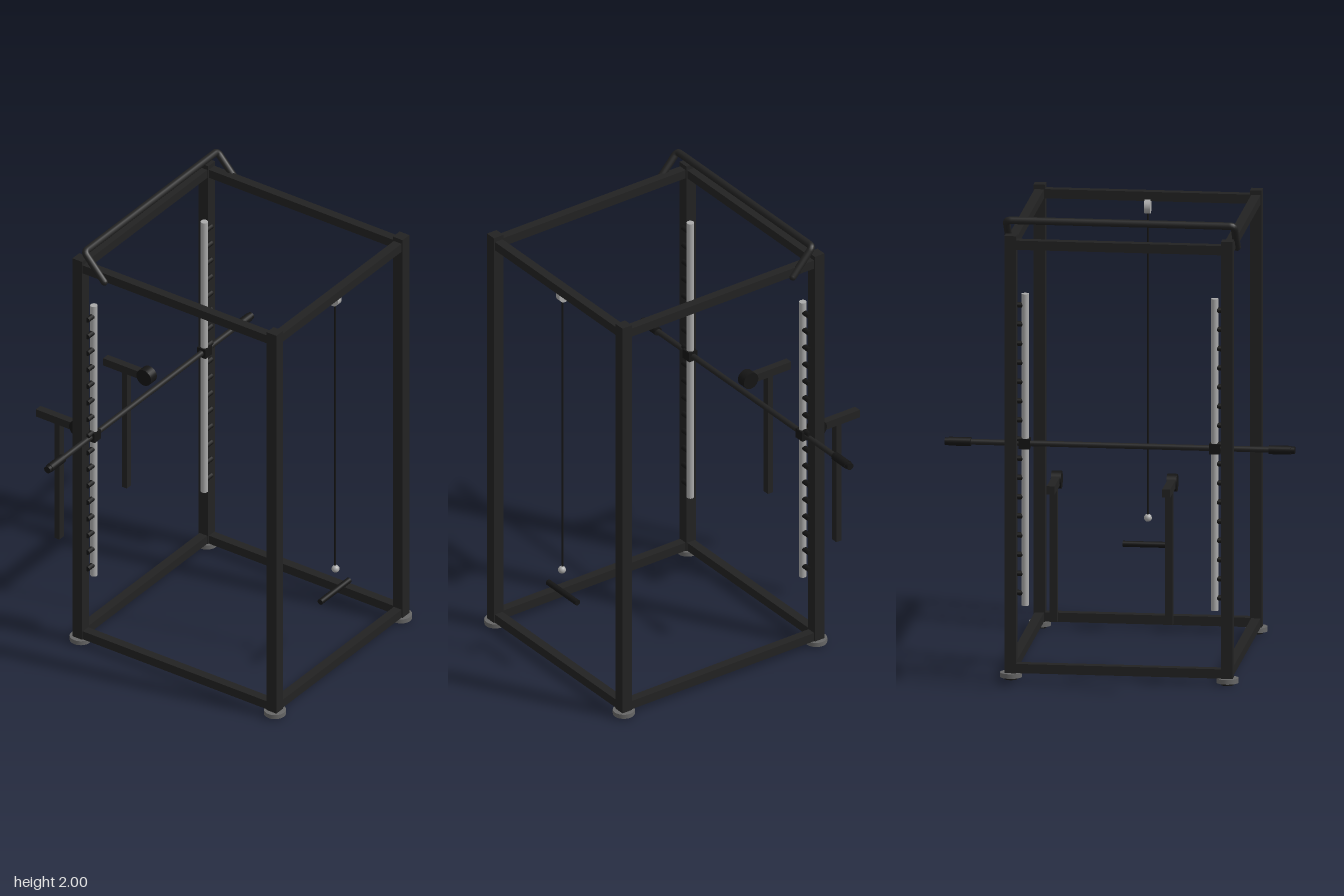
import * as THREE from 'three';

const mat = (color) => new THREE.MeshStandardMaterial({ color });
const FRAME = mat(0x222222), BLACK = mat(0x151515), STEEL = mat(0xaaaaaa), FOOT = mat(0x666666);

export function createModel() {
  const root = new THREE.Group();

  const add = (name, geo, material, x, y, z) => {
    const m = new THREE.Mesh(geo, material);
    m.name = name;
    m.position.set(x, y, z);
    root.add(m);
    return m;
  };
  const box = (name, w, h, d, material, x, y, z) =>
    add(name, new THREE.BoxGeometry(w, h, d), material, x, y, z);
  const rod = (name, r, len, axis, material, x, y, z, seg = 20) => {
    const g = new THREE.CylinderGeometry(r, r, len, seg);
    if (axis === 'x') g.rotateZ(Math.PI / 2);
    if (axis === 'z') g.rotateX(Math.PI / 2);
    return add(name, g, material, x, y, z);
  };

  const PX = 0.463, ZF = 0.665, ZB = -0.345, ZMID = (ZF + ZB) / 2;

  // Uprights with round levelling feet
  for (const x of [-PX, PX]) {
    for (const z of [ZF, ZB]) {
      box('upright', 0.05, 1.915, 0.05, FRAME, x, 0.9725, z);
      rod('footDisc', 0.047, 0.02, 'y', FOOT, x, 0.02, z, 28);
      rod('footPad', 0.028, 0.012, 'y', BLACK, x, 0.006, z);
    }
  }

  // Top and bottom rails
  for (const y of [0.05, 1.89]) {
    for (const z of [ZF, ZB]) box('crossRail', 2 * PX - 0.05, 0.04, 0.04, FRAME, 0, y, z);
    for (const x of [-PX, PX]) box('sideRail', 0.04, 0.04, ZF - ZB - 0.05, FRAME, x, y, ZMID);
  }

  // Pull-up bar: one bent tube with tight elbows
  const corners = [
    [-0.487, 1.872, -0.205], [-0.487, 1.985, -0.308],
    [0.487, 1.985, -0.308], [0.487, 1.872, -0.205],
  ].map((p) => new THREE.Vector3(...p));
  const path = new THREE.CurvePath();
  let start = corners[0];
  for (let i = 1; i < 3; i++) {
    const c = corners[i];
    const before = c.clone().add(corners[i - 1].clone().sub(c).setLength(0.02));
    const after = c.clone().add(corners[i + 1].clone().sub(c).setLength(0.02));
    path.add(new THREE.LineCurve3(start, before));
    path.add(new THREE.QuadraticBezierCurve3(before, c, after));
    start = after;
  }
  path.add(new THREE.LineCurve3(start, corners[3]));
  add('pullUpBar', new THREE.TubeGeometry(path, 240, 0.016, 14), FRAME, 0, 0, 0);
  for (const c of [corners[0], corners[3]]) {
    add('pullUpBarEnd', new THREE.SphereGeometry(0.016, 14, 10), FRAME, c.x, c.y, c.z);
  }

  // Guide rods, safety pegs and sliding barbell carriers
  const BZ = -0.317, BY = 1.02;
  for (const s of [-1, 1]) {
    rod('guideRod', 0.016, 1.355, 'y', STEEL, s * 0.405, 0.993, BZ);
    for (let i = 0; i < 16; i++) {
      rod('safetyPeg', 0.012, 0.04, 'x', BLACK, s * 0.435, 0.37 + i * 0.0834, BZ, 12);
    }
    box('barCarrier', 0.048, 0.044, 0.044, BLACK, s * 0.407, BY, BZ);
    rod('barSleeve', 0.019, 0.095, 'x', BLACK, s * 0.684, BY, BZ);
    rod('barEnd', 0.016, 0.018, 'x', BLACK, s * 0.739, BY, BZ);
  }
  rod('barbell', 0.0125, 1.47, 'x', FRAME, 0, BY, BZ);

  // Cable station at the front
  rod('pulley', 0.03, 0.026, 'x', STEEL, 0, 1.847, 0.645, 28);
  rod('cable', 0.004, 1.34, 'y', BLACK, 0, 1.16, 0.65, 8);
  add('cableStop', new THREE.SphereGeometry(0.017, 18, 12), STEEL, 0, 0.492, 0.652);
  rod('cableHandle', 0.013, 0.212, 'x', BLACK, 0, 0.377, 0.647);

  // Padded arms on stands behind the frame
  for (const x of [-0.247, 0.247]) {
    box('armStand', 0.032, 0.6, 0.026, FRAME, x, 0.615, -0.61);
    box('arm', 0.034, 0.036, 0.215, FRAME, x, 0.908, -0.6115);
    rod('armPad', 0.038, 0.043, 'x', BLACK, x, 0.908, -0.505, 28);
  }

  return root;
}
